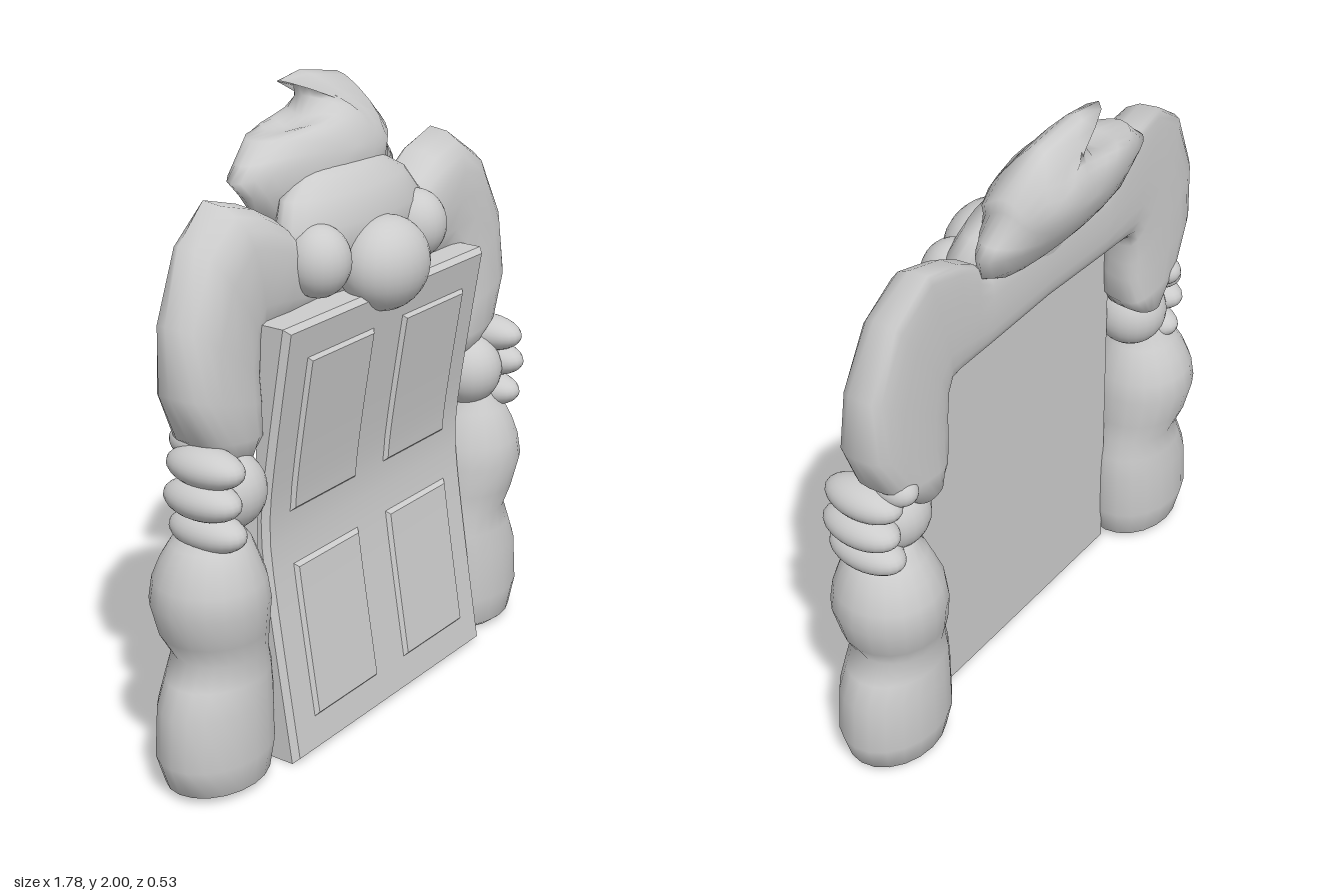
import * as THREE from 'three';

const material = new THREE.MeshStandardMaterial({ color: 0xcccccc });
const MID = 0.03; // centre line of the door, face and arms

function addMesh(parent, geometry, name) {
  const mesh = new THREE.Mesh(geometry, material);
  mesh.name = name;
  parent.add(mesh);
  return mesh;
}

function ellipsoid(parent, name, [x, y, z], [rx, ry, rz]) {
  const mesh = addMesh(parent, new THREE.SphereGeometry(1, 24, 16), name);
  mesh.position.set(x, y, z);
  mesh.scale.set(rx, ry, rz);
}

// Skin closed rings of points, capped at both ends, always facing outward
function loft(rings) {
  const n = rings[0].length, pos = [], idx = [];
  rings.forEach(r => r.forEach(p => pos.push(p.x, p.y, p.z)));
  for (let i = 0; i < rings.length - 1; i++) {
    for (let j = 0; j < n; j++) {
      const a = i * n + j, b = i * n + (j + 1) % n;
      idx.push(a, b, a + n, b, b + n, a + n);
    }
  }
  [0, rings.length - 1].forEach((r, end) => {
    const c = new THREE.Vector3();
    rings[r].forEach(p => c.addScaledVector(p, 1 / n));
    const k = pos.length / 3;
    pos.push(c.x, c.y, c.z);
    for (let j = 0; j < n; j++) {
      const a = r * n + j, b = r * n + (j + 1) % n;
      if (end) idx.push(a, b, k); else idx.push(b, a, k);
    }
  });
  const at = i => new THREE.Vector3().fromArray(pos, i * 3);
  let volume = 0;
  for (let i = 0; i < idx.length; i += 3) volume += at(idx[i]).dot(at(idx[i + 1]).cross(at(idx[i + 2])));
  if (volume < 0) idx.reverse();
  const g = new THREE.BufferGeometry();
  g.setAttribute('position', new THREE.Float32BufferAttribute(pos, 3));
  g.setIndex(idx);
  g.computeVertexNormals();
  return g;
}

// The door front is furthest back at mid height and flares forward at both ends
const doorFront = y => 0.062 + Math.hypot((y - 0.75) * 0.165, 0.018);
const doorBack = () => 0.045;
const bevelBack = y => doorFront(y) - 0.02;

// Box whose front is inset by a bevel, bent to follow the door
function bentPanel(x0, x1, y0, y1, back, raise, bevel) {
  const w = x1 - x0, h = y1 - y0;
  const g = new THREE.BoxGeometry(w, h, 1, 1, 16, 1);
  const p = g.attributes.position;
  for (let i = 0; i < p.count; i++) {
    const isFront = p.getZ(i) > 0;
    const sx = isFront ? 1 - 2 * bevel / w : 1, sy = isFront ? 1 - 2 * bevel / h : 1;
    const y = (y0 + y1) / 2 + p.getY(i) * sy;
    p.setXYZ(i, (x0 + x1) / 2 + p.getX(i) * sx, y, isFront ? doorFront(y) + raise : back(y));
  }
  g.computeVertexNormals();
  return g;
}

// Door with a flat back, bevelled front and four raised panels
function buildDoor() {
  const door = new THREE.Group();
  door.name = 'door';
  addMesh(door, bentPanel(-0.485, 0.545, 0, 1.385, doorBack, -0.02, 0), 'doorSlab');
  addMesh(door, bentPanel(-0.485, 0.545, 0, 1.385, bevelBack, 0, 0.016), 'doorBevel');
  for (const [x0, x1] of [[-0.39, -0.025], [0.09, 0.46]]) {
    for (const [y0, y1] of [[0.095, 0.625], [0.755, 1.29]]) {
      addMesh(door, bentPanel(x0, x1, y0, y1, bevelBack, 0.012, 0.03), 'doorPanel');
    }
  }
  return door;
}

// Shoulders and both arms: each section runs from an outer to an inner point,
// with a flat back and a rounded front
function buildArms() {
  const back = -0.1;
  // outer x, outer y, inner x, inner y, outer edge z, front z
  const half = [
    [0, 1.61, 0, 1.34, -0.05, 0.05], [0.29, 1.6, 0.29, 1.33, -0.05, 0.07],
    [0.35, 1.65, 0.37, 1.325, -0.07, 0.08], [0.43, 1.695, 0.43, 1.32, -0.08, 0.08],
    [0.57, 1.735, 0.46, 1.31, -0.085, 0.08], [0.71, 1.64, 0.47, 1.27, -0.06, 0.085],
    [0.81, 1.44, 0.47, 1.2, -0.03, 0.09], [0.825, 1.24, 0.47, 1.14, -0.01, 0.1],
    [0.76, 1.09, 0.48, 1.05, 0, 0.1], [0.64, 0.98, 0.52, 1.0, 0, 0.07],
  ];
  const mirrored = half.slice(1).reverse().map(([a, b, c, d, e, f]) => [-a, b, -c, d, e, f]);
  const rings = [...mirrored, ...half].map(([ox, oy, ix, iy, oz, front]) => {
    const ring = [];
    for (let j = 0; j < 20; j++) {
      const t = j / 20 * Math.PI * 2, c = Math.cos(t), s = Math.sin(t);
      const k = (1 + Math.sign(c) * Math.pow(Math.abs(c), 0.75)) / 2;
      const edge = -0.03 + (oz + 0.03) * k;
      const limit = s > 0 ? front : back;
      const z = edge + (limit - edge) * Math.pow(Math.abs(s), s > 0 ? 0.8 : 0.6);
      ring.push(new THREE.Vector3(MID + ix + (ox - ix) * k, iy + (oy - iy) * k, z));
    }
    return ring;
  });
  return loft(rings);
}

// Bulging leg: height, centre x, half width, half depth, centre z
function buildLeg(side) {
  const sections = [
    [0.005, 0.67, 0.13, 0.11, 0.035], [0.025, 0.68, 0.18, 0.14, 0.03], [0.12, 0.685, 0.205, 0.158, 0.027],
    [0.28, 0.68, 0.2, 0.152, 0.027], [0.36, 0.665, 0.18, 0.143, 0.027], [0.43, 0.655, 0.15, 0.137, 0.027],
    [0.5, 0.675, 0.17, 0.158, 0.023], [0.6, 0.69, 0.18, 0.178, 0.023], [0.67, 0.69, 0.17, 0.167, 0.023],
    [0.73, 0.69, 0.145, 0.145, 0.025], [0.78, 0.685, 0.12, 0.12, 0.028],
    [0.82, 0.675, 0.08, 0.09, 0.028], [0.88, 0.66, 0.06, 0.06, 0.028],
  ];
  return loft(sections.map(([y, cx, rx, rz, cz]) => Array.from({ length: 20 }, (_, j) => {
    const t = j / 20 * Math.PI * 2;
    return new THREE.Vector3(0.01 + side * (cx + rx * Math.cos(t)), y, cz + rz * Math.sin(t));
  })));
}

// Palm, three wrapped fingers and a small thumb
function buildHand(side) {
  const hand = new THREE.Group();
  hand.name = side > 0 ? 'leftHand' : 'rightHand';
  const x = v => MID + side * v;
  ellipsoid(hand, 'palm', [x(0.635), 0.915, 0.03], [0.12, 0.12, 0.12]);
  for (const [fx, y] of [[0.738, 1.02], [0.755, 0.927], [0.735, 0.825]]) {
    ellipsoid(hand, 'finger', [x(fx), y, 0.042], [0.075, 0.06, 0.132]);
  }
  ellipsoid(hand, 'thumb', [x(0.695), 1.068, -0.04], [0.055, 0.052, 0.075]);
  return hand;
}

// Pillow-like tuft of hair with a curled tip; inner rings relax to an ellipse
function buildHair() {
  const outline = [
    [-0.375, 1.74], [-0.32, 1.78], [-0.25, 1.84], [-0.15, 1.845], [-0.07, 1.845], [-0.005, 1.87],
    [0.015, 1.925], [0, 1.965], [-0.085, 1.985], [0.02, 2.0], [0.2, 1.97], [0.32, 1.85], [0.31, 1.8],
    [0.375, 1.72], [0.4, 1.68], [0.37, 1.605], [0.3, 1.565], [0.12, 1.555], [-0.1, 1.57], [-0.28, 1.61],
    [-0.33, 1.69],
  ];
  const cx = 0.07, cy = 1.77, steps = 16, rings = [];
  for (let i = 0; i <= steps; i++) {
    const a = Math.PI * (0.03 + 0.94 * i / steps);
    const t = Math.sin(a), depth = 0.14 * Math.cos(a), follow = t * t * t;
    rings.push(outline.map(([px, py], j) => {
      // evenly spread ellipse points, clockwise from the left end
      const angle = Math.PI * (1 - 2 * j / outline.length);
      const ex = 0.33 * Math.cos(angle), ey = 0.17 * Math.sin(angle);
      const x = (ex + (px - cx - ex) * follow) * t, y = (ey + (py - cy - ey) * follow) * t;
      return new THREE.Vector3(cx + x, cy + y, -0.125 - 0.2 * y + depth);
    }));
  }
  return loft(rings);
}

// Broad brow with a flattened top, tapering down behind the eyes
function buildBrow() {
  const sections = [
    [1.34, 0.22, 0.05], [1.42, 0.29, 0.08], [1.52, 0.335, 0.11],
    [1.6, 0.34, 0.115], [1.68, 0.29, 0.1], [1.73, 0.2, 0.07], [1.75, 0.16, 0.04],
  ];
  return loft(sections.map(([y, rx, rz]) => Array.from({ length: 24 }, (_, j) => {
    const t = j / 24 * Math.PI * 2;
    const lean = -0.3 * Math.max(0, y - 1.6);
    return new THREE.Vector3(MID + rx * Math.cos(t), y, 0.01 + lean + rz * Math.sin(t));
  })));
}

export function createModel() {
  const model = new THREE.Group();
  model.name = 'doorHolder';
  model.add(buildDoor());
  addMesh(model, buildArms(), 'arms');

  const head = new THREE.Group();
  head.name = 'head';
  addMesh(head, buildBrow(), 'brow');
  addMesh(head, buildHair(), 'hair');
  ellipsoid(head, 'nose', [MID, 1.455, 0.135], [0.16, 0.145, 0.13]);
  for (const side of [-1, 1]) {
    ellipsoid(head, side > 0 ? 'leftEye' : 'rightEye', [MID + side * 0.25, 1.51, 0.075], [0.1, 0.11, 0.1]);
    model.add(buildHand(side));
    addMesh(model, buildLeg(side), side > 0 ? 'leftLeg' : 'rightLeg');
  }
  model.add(head);
  return model;
}
